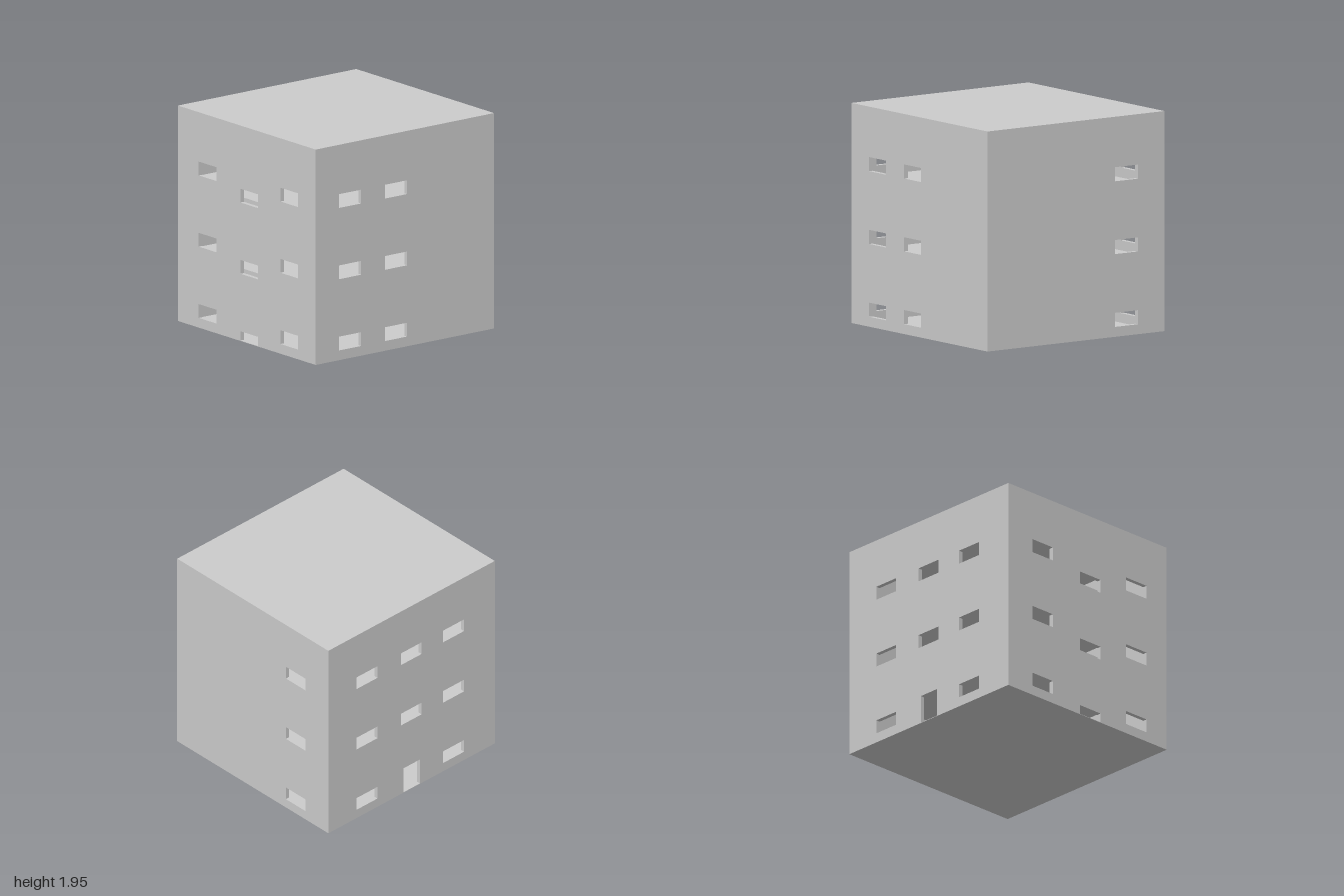
import * as THREE from 'three';

const W = 2, D = 1.93, H = 1.95, T = 0.04, STOREY = 0.645;
const WIN_W = 0.25, WIN_H = 0.125, SILL = 0.088;

const material = new THREE.MeshStandardMaterial({ color: 0xcccccc, flatShading: true });

function rectHole(u0, v0, u1, v1) {
  const p = new THREE.Path();
  p.moveTo(u0, v0);
  p.lineTo(u0, v1);
  p.lineTo(u1, v1);
  p.lineTo(u1, v0);
  p.closePath();
  return p;
}

// Wall panel in its own plane, outer face at local z = 0, thickness going inward
function wall(name, width, holes) {
  const s = new THREE.Shape();
  s.moveTo(-width / 2, 0);
  s.lineTo(width / 2, 0);
  s.lineTo(width / 2, H);
  s.lineTo(-width / 2, H);
  s.closePath();
  holes.forEach(h => s.holes.push(rectHole(...h)));
  const geo = new THREE.ExtrudeGeometry(s, { depth: T, bevelEnabled: false });
  geo.translate(0, 0, -T);
  const mesh = new THREE.Mesh(geo, material);
  mesh.name = name;
  return mesh;
}

// One window per storey, centred on u; drop lowers the column, skip leaves a storey out
function windowColumn(u, drop = 0, skip = -1) {
  const holes = [];
  for (let i = 0; i < 3; i++) {
    if (i === skip) continue;
    const v = i * STOREY + SILL - drop;
    holes.push([u - WIN_W / 2, Math.max(v, 0.004), u + WIN_W / 2, v + WIN_H]);
  }
  return holes;
}

export function createModel() {
  const building = new THREE.Group();
  building.name = 'building';

  // Front wall: two window columns
  const front = wall('frontWall', W, [...windowColumn(-0.615), ...windowColumn(-0.1)]);
  front.position.z = D / 2;

  // Back wall (u = -x): three columns, with a door on the ground floor
  const back = wall('backWall', W, [
    ...windowColumn(-0.535), ...windowColumn(-0.005, 0, 0), ...windowColumn(0.505),
    [-0.1, 0.004, 0.1, 0.26],
  ]);
  back.rotation.y = Math.PI;
  back.position.z = -D / 2;

  // Left wall (u = -z): one column near the back
  const left = wall('leftWall', D, windowColumn(0.548));
  left.rotation.y = Math.PI / 2;
  left.position.x = W / 2;

  // Right wall (u = z): three columns, the middle one set lower
  const right = wall('rightWall', D, [
    ...windowColumn(-0.548), ...windowColumn(0.035, WIN_H), ...windowColumn(0.595),
  ]);
  right.rotation.y = -Math.PI / 2;
  right.position.x = -W / 2;
  building.add(front, back, left, right);

  // Floor slabs and flat roof, each given by its top height and thickness
  const slabs = [
    ['groundFloor', 0.004, 0.004, 0],
    ['firstFloor', STOREY, T, T],
    ['secondFloor', 2 * STOREY, T, T],
    ['roof', H, T, 0],
  ];
  for (const [name, top, thick, inset] of slabs) {
    const slab = new THREE.Mesh(new THREE.BoxGeometry(W - 2 * inset, thick, D - 2 * inset), material);
    slab.name = name;
    slab.position.y = top - thick / 2;
    building.add(slab);
  }
  return building;
}
